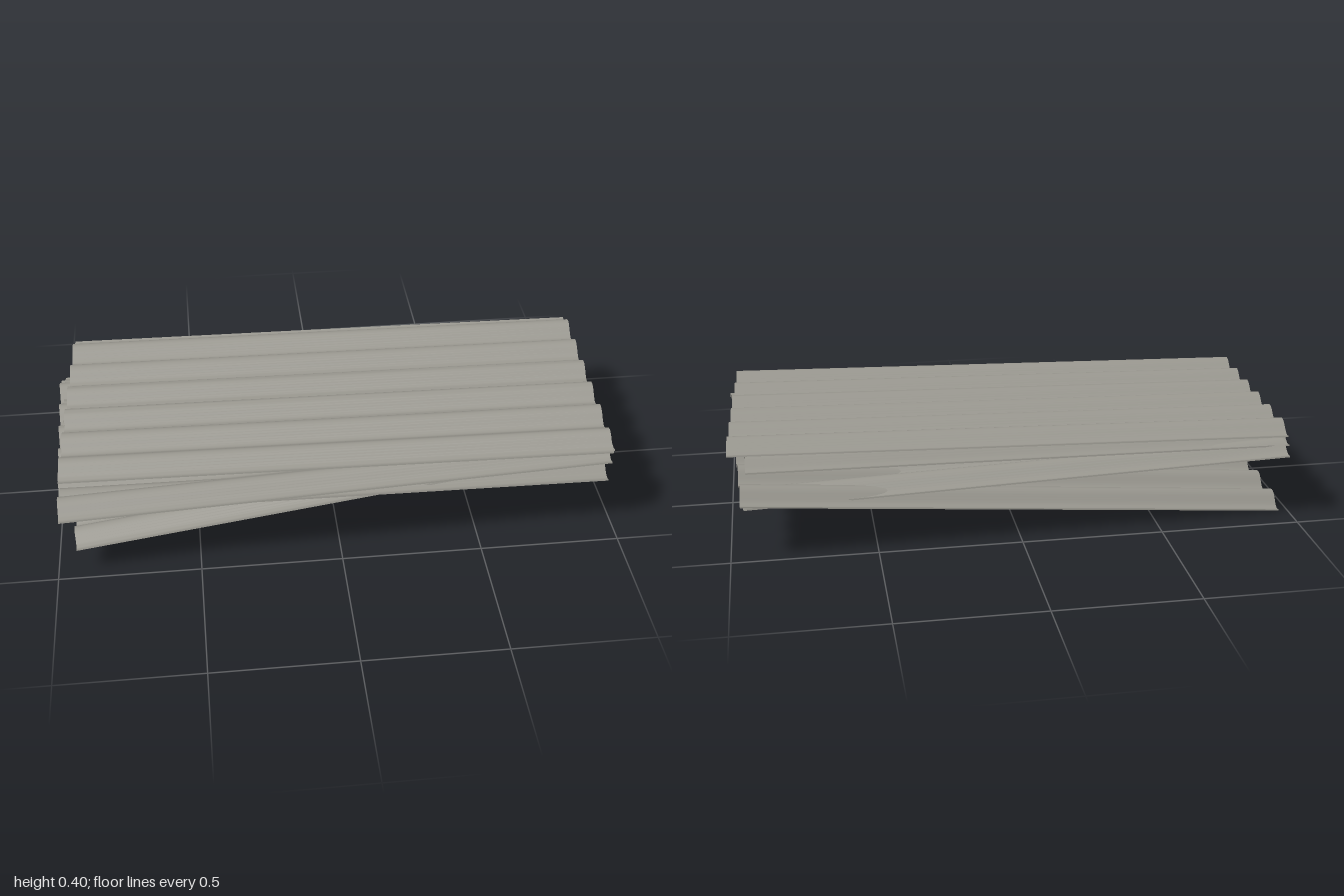
import * as THREE from 'three';
import { toCreasedNormals } from 'three/addons/utils/BufferGeometryUtils.js';

const LENGTH = 1.935, WIDTH = 0.87, WAVE = 0.141, AMP = 0.0195, THICK = 0.005;

// One corrugated sheet: length along x, waves across z, centred on the origin
function sheetGeometry() {
  const steps = 110, top = [], bottom = [];
  for (let i = 0; i <= steps; i++) {
    const s = (i / steps - 0.5) * WIDTH;
    const y = -AMP * Math.cos((2 * Math.PI * s) / WAVE);
    // offset along the wave's normal for an even thickness
    const slope = ((AMP * 2 * Math.PI) / WAVE) * Math.sin((2 * Math.PI * s) / WAVE);
    const n = new THREE.Vector2(-slope, 1).setLength(THICK / 2);
    top.push(new THREE.Vector2(s + n.x, y + n.y));
    bottom.push(new THREE.Vector2(s - n.x, y - n.y));
  }
  const shape = new THREE.Shape([...bottom, ...top.reverse()]);
  const geo = new THREE.ExtrudeGeometry(shape, { depth: LENGTH, bevelEnabled: false, steps: 1 });
  geo.translate(0, 0, -LENGTH / 2);
  geo.rotateY(Math.PI / 2);
  return toCreasedNormals(geo, 0.7);
}

// Sheets from bottom to top: centre, rise and sideways drift along x, rise along z
const SHEETS = [
  { name: 'bottomSheet', at: [0.012, 0.169, -0.02], rise: 0.104, drift: -0.054, roll: 0.11 },
  { name: 'lowerMiddleSheet', at: [-0.01, 0.232, -0.002], rise: -0.026, drift: -0.019, roll: 0.041 },
  { name: 'upperMiddleSheet', at: [-0.02, 0.293, 0.037], rise: 0.025, drift: -0.032, roll: 0.017 },
  { name: 'topSheet', at: [0.01, 0.36, -0.03], rise: 0.013, drift: 0.036, roll: -0.011 },
];

export function createModel() {
  const group = new THREE.Group();
  group.name = 'corrugatedSheetStack';
  const metal = new THREE.MeshStandardMaterial({ color: 0x9c9a92 });
  metal.name = 'weathered grey metal';
  const geo = sheetGeometry();

  for (const { name, at, rise, drift, roll } of SHEETS) {
    const along = new THREE.Vector3(1, rise, drift).normalize();
    const across = new THREE.Vector3(-(rise * roll + drift), roll, 1).normalize();
    const up = new THREE.Vector3().crossVectors(across, along);
    const sheet = new THREE.Mesh(geo, metal);
    sheet.name = name;
    sheet.quaternion.setFromRotationMatrix(new THREE.Matrix4().makeBasis(along, up, across));
    sheet.position.set(...at);
    group.add(sheet);
  }
  return group;
}
